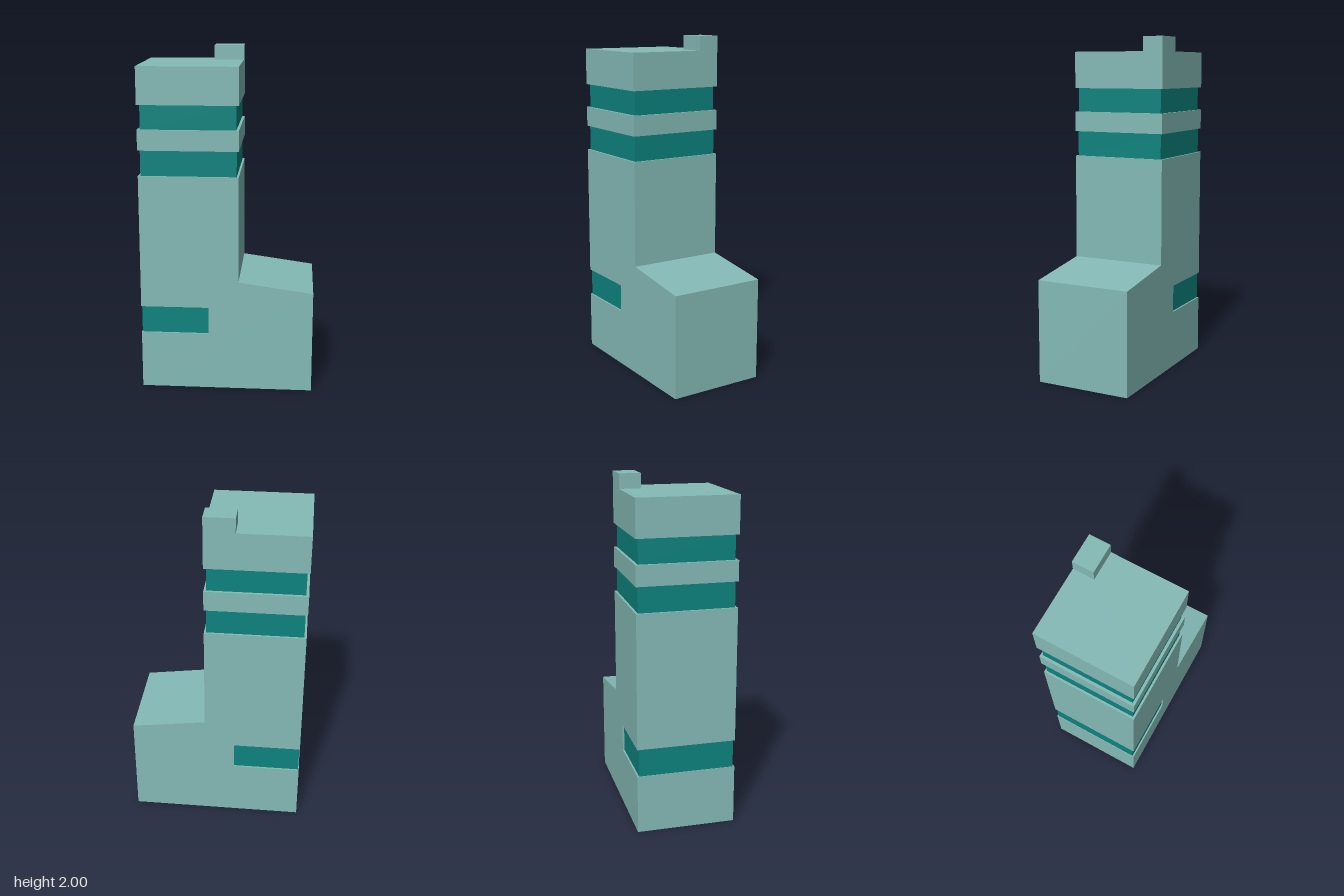
import * as THREE from 'three';

export function createModel() {
  const model = new THREE.Group();
  const wall = new THREE.MeshStandardMaterial({ color: 0x84bab6 });
  wall.name = 'paleTealWall';
  const glass = new THREE.MeshStandardMaterial({ color: 0x0d837e });
  glass.name = 'deepTealGlass';

  const D = 0.288; // half depth of the building

  // Box given by its limits on each axis
  function block(name, material, x0, x1, y0, y1, z0 = -D, z1 = D) {
    const mesh = new THREE.Mesh(new THREE.BoxGeometry(x1 - x0, y1 - y0, z1 - z0), material);
    mesh.position.set((x0 + x1) / 2, (y0 + y1) / 2, (z0 + z1) / 2);
    mesh.name = name;
    model.add(mesh);
  }

  // Tower shaft and sloped-roof wing, with a notch for the low window
  const outline = [
    [-0.506, 0], [0.506, 0], [0.506, 0.61], [0.07, 0.67], [0.07, 1.294],
    [-0.506, 1.294], [-0.506, 0.508], [-0.107, 0.508], [-0.107, 0.345], [-0.506, 0.345],
  ].map(([x, y]) => new THREE.Vector2(x, y));
  const bodyGeometry = new THREE.ExtrudeGeometry(new THREE.Shape(outline), { depth: 2 * D, bevelEnabled: false });
  bodyGeometry.translate(0, 0, -D);
  const body = new THREE.Mesh(bodyGeometry, wall);
  body.name = 'towerAndWing';
  model.add(body);

  // Low window wrapping the left corner, set back slightly
  block('lowWindow', glass, -0.502, -0.107, 0.345, 0.508, -D + 0.01, D - 0.01);

  // Recessed window bands and the floors between them
  block('lowerWindowBand', glass, -0.493, 0.058, 1.294, 1.442, -0.275, 0.275);
  block('middleFloor', wall, -0.506, 0.07, 1.442, 1.56);
  block('upperWindowBand', glass, -0.49, 0.055, 1.56, 1.70, -0.272, 0.272);
  block('topFloor', wall, -0.506, 0.07, 1.70, 1.915);

  // Rooftop box at the back corner
  block('roofBox', wall, -0.105, 0.07, 1.915, 2, -D, -0.163);

  return model;
}
